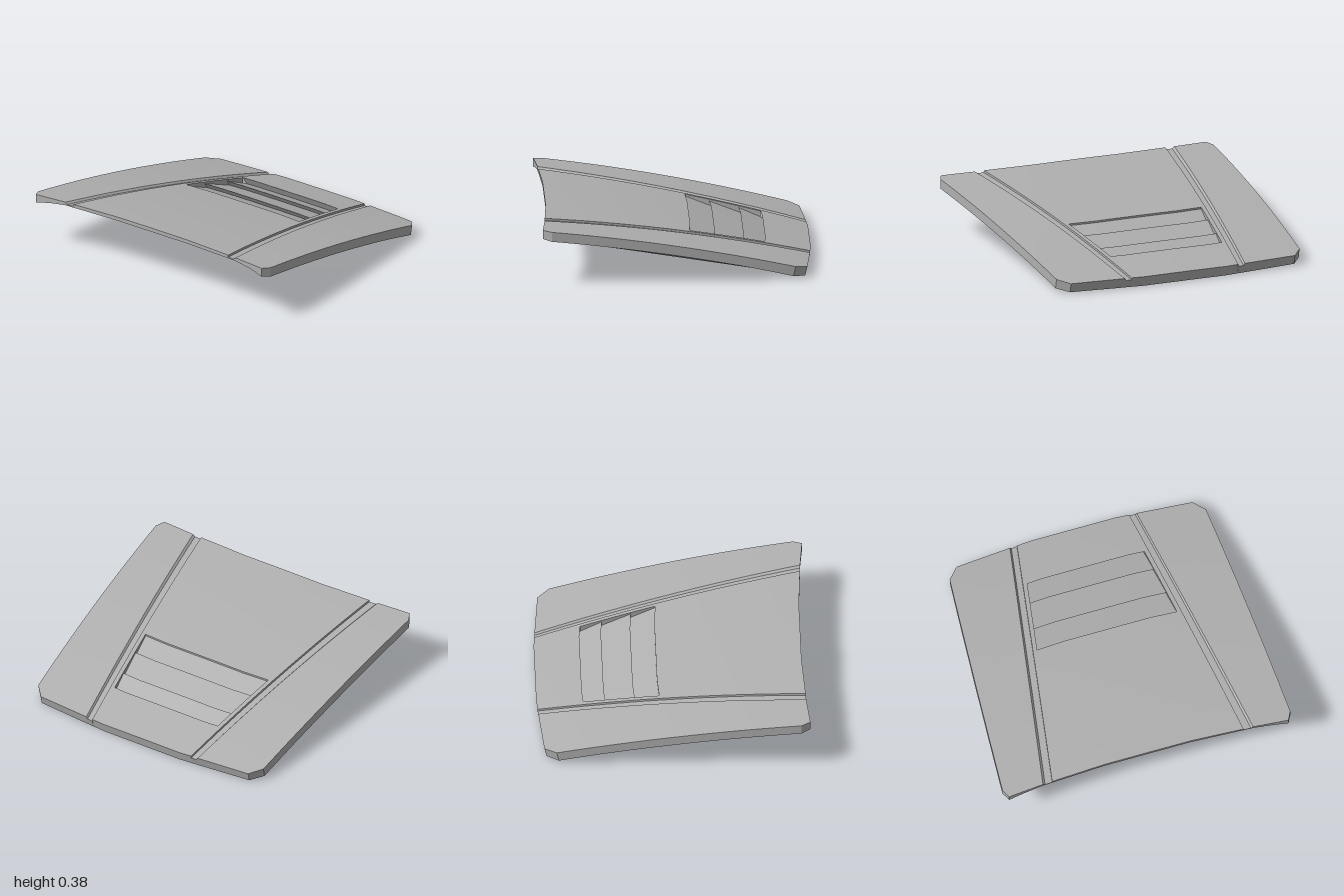
import * as THREE from 'three';
import { toCreasedNormals } from 'three/addons/utils/BufferGeometryUtils.js';

const lerp = THREE.MathUtils.lerp;

// Half of the lengthwise lines: front x, front z, back x, back z, groove depth
const half = [
  [0, 0.86, 0, -0.91, 0],
  [0.15, 0.86, 0.15, -0.91, 0],
  [0.3, 0.86, 0.3, -0.91, 0],
  [0.635, 0.876, 0.36, -0.905, 0],      // edge of the vent
  [0.665, 0.878, 0.39, -0.903, 0],      // groove, inner lip
  [0.666, 0.878, 0.391, -0.903, 0.014],
  [0.715, 0.88, 0.43, -0.9, 0.014],
  [0.73, 0.88, 0.44, -0.9, 0],          // groove, outer lip
  [0.86, 0.891, 0.66, -0.883, 0],
  [0.97, 0.9, 0.82, -0.87, 0],
  [1, 0.84, 0.89, -0.79, 0],            // side edge
];
const last = half.length - 1;
const lines = [
  ...half.slice(1).reverse().map(([a, b, c, d, e]) => [-a, b, -c, d, e]),
  ...half,
];
const n = lines.length - 1;
const ventFrom = last - 3, ventTo = last + 3;

// Crosswise rows, front to back
const rows = [0, 0.06, 0.14, 0.22, 0.3, 0.38, 0.46, 0.545, 0.636, 0.746, 0.828, 0.88, 0.94, 1];
const m = rows.length - 1;
const ventFirst = rows.indexOf(0.545), ventLast = rows.indexOf(0.828);

// Arched upper surface
function skin(i, v, depth = 0) {
  const [xf, zf, xb, zb] = lines[i];
  const bulge = Math.abs(i - last) === last ? 0.02 * v * (1 - v) * Math.sign(xf) : 0;
  const x = lerp(xf, xb, v) + bulge;
  const z = lerp(zf, zb, v);
  return [x, 0.262 + 0.174 * z - 0.04 * z * z - 0.013 * x * x - depth, z];
}
const top = (i, j) => skin(i, rows[j], lines[i][4]);

// Underside: flat, with a raised front lip and curved side edges
function bottom(i, j) {
  const [x, y, z0] = skin(i, rows[j]);
  const z = z0 + 0.015 * Math.max(0, (rows[j] - 0.8) / 0.2);
  if (Math.abs(i - last) === last) return [x, y - 0.065, z];
  if (j === 0) return [x, Math.abs(x) > 0.95 ? 0.315 : Math.abs(x) > 0.8 ? 0.34 : 0.355, z];
  return [x, 0.163 + 0.179 * z, z];
}

// Sheet of quads through points f(i, j); its front is along i x j
function sheet(nu, nv, f, skip = () => false) {
  const pos = [];
  for (let i = 0; i < nu; i++) {
    for (let j = 0; j < nv; j++) {
      if (skip(i, j)) continue;
      const a = f(i, j), b = f(i + 1, j), c = f(i + 1, j + 1), d = f(i, j + 1);
      pos.push(...a, ...b, ...c, ...a, ...c, ...d);
    }
  }
  const g = new THREE.BufferGeometry();
  g.setAttribute('position', new THREE.Float32BufferAttribute(pos, 3));
  return toCreasedNormals(g, 0.3);
}

export function createModel() {
  const paint = new THREE.MeshStandardMaterial({ color: 0xb0b0b0 });
  paint.name = 'grey';
  const group = new THREE.Group();
  group.name = 'ventedPanel';
  const add = (name, geometry) => {
    const mesh = new THREE.Mesh(geometry, paint);
    mesh.name = name;
    group.add(mesh);
  };

  // Panel shell
  const inVent = (i, j) => i >= ventFrom && i < ventTo && j >= ventFirst && j < ventLast;
  const rim = (i, j, k) => (k ? top(i, j) : bottom(i, j));
  add('topSkin', sheet(n, m, top, inVent));
  add('underside', sheet(n, m, (i, j) => bottom(n - i, j)));
  add('frontEdge', sheet(n, 1, (i, k) => rim(i, 0, k)));
  add('backEdge', sheet(n, 1, (i, k) => rim(n - i, m, k)));
  add('leftEdge', sheet(m, 1, (j, k) => rim(n, j, k)));
  add('rightEdge', sheet(m, 1, (j, k) => rim(0, m - j, k)));

  // Three sloping slats with undercut risers: row, depth
  const slats = [
    [0.545, 0], [0.545, 0.012], [0.651, 0.045], [0.636, 0.012],
    [0.761, 0.045], [0.746, 0.012], [0.843, 0.045], [0.828, 0],
  ];
  add('ventSlats', sheet(ventTo - ventFrom, slats.length - 1,
    (i, k) => skin(ventFrom + i, ...slats[k])));

  // Vent side walls
  const steps = ventLast - ventFirst;
  add('ventLeftWall', sheet(steps, 1,
    (j, k) => skin(ventTo, rows[ventLast - j], k ? 0 : 0.045)));
  add('ventRightWall', sheet(steps, 1,
    (j, k) => skin(ventFrom, rows[ventFirst + j], k ? 0 : 0.045)));

  return group;
}
